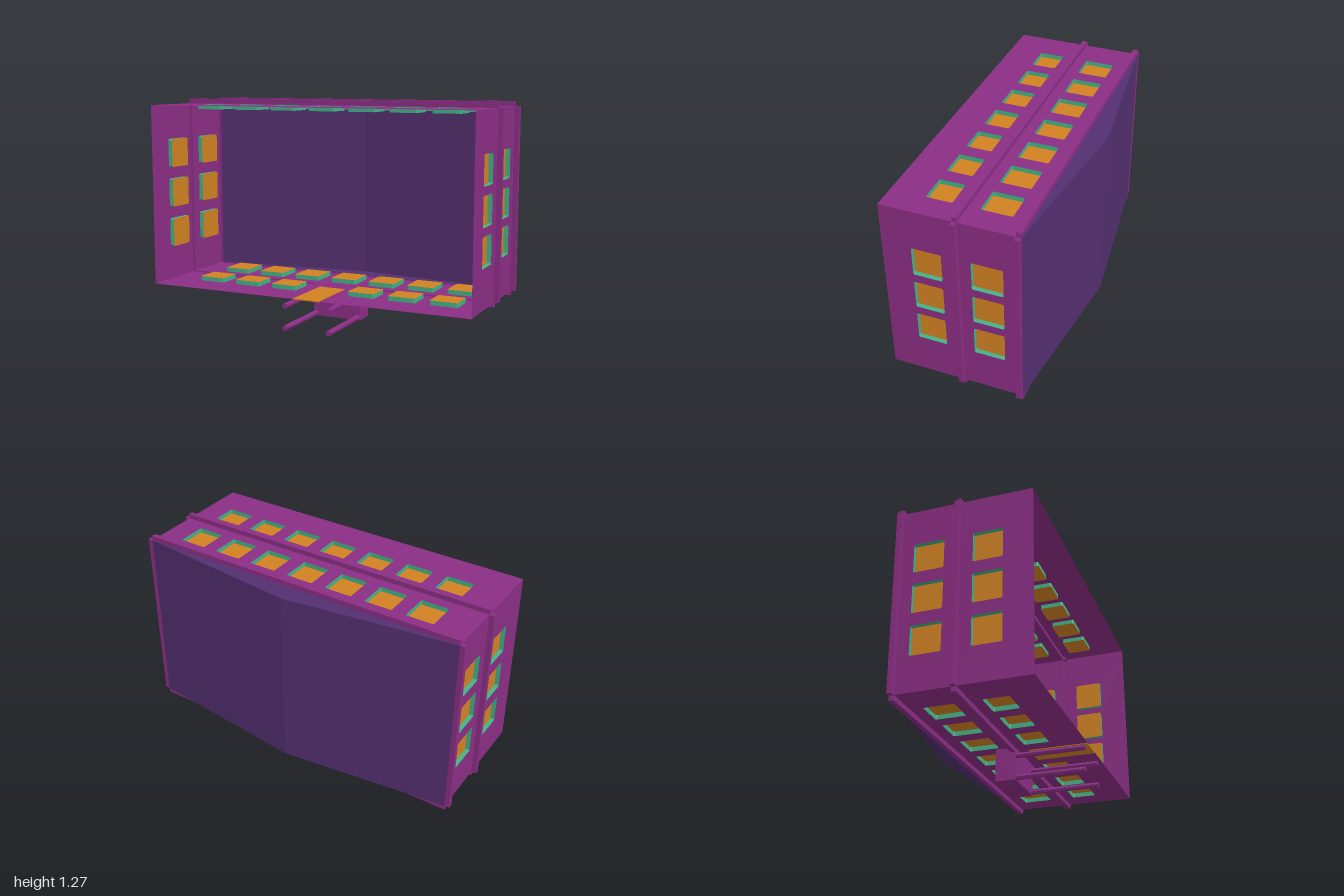
import * as THREE from 'three';

const make = (name, color) => {
  const m = new THREE.MeshStandardMaterial({ color, side: THREE.DoubleSide, flatShading: true });
  m.name = name;
  return m;
};

export function createModel() {
  const wallMat = make('wall purple', 0x8a2d84);
  const roofMat = make('roof violet', 0x532f70);
  const paneMat = make('pane orange', 0xd08122);
  const revealMat = make('reveal green', 0x43b185);
  const model = new THREE.Group();
  model.name = 'building';

  const X = 0.972, Y0 = 0.187, Y1 = 1.238, FRONT = 0.432, EAVE = -0.316, RIDGE = -0.432;

  const add = (parent, name, geo, mat) => {
    const mesh = new THREE.Mesh(geo, mat);
    mesh.name = name;
    parent.add(mesh);
    return mesh;
  };

  // Moves a flat shape (u, v, w) into place on one side of the building
  const mapped = (geo, map) => {
    const p = geo.attributes.position;
    for (let i = 0; i < p.count; i++) p.setXYZ(i, ...map(p.getX(i), p.getY(i), p.getZ(i)));
    geo.computeVertexNormals();
    return geo;
  };

  // Rectangle outline with small rounded corners
  const outline = ([u0, u1, v0, v1], r = 0) => {
    const pts = [];
    [[u1, v1], [u0, v1], [u0, v0], [u1, v0]].forEach(([u, v], i) => {
      const cu = u + (u === u1 ? -r : r), cv = v + (v === v1 ? -r : r);
      for (let k = 0; k <= (r ? 2 : 0); k++) {
        const a = (i + k / 2) * Math.PI / 2;
        pts.push(new THREE.Vector2(cu + r * Math.cos(a), cv + r * Math.sin(a)));
      }
    });
    return pts;
  };

  const sheet = (pts, w, holes = []) => {
    const s = new THREE.Shape(pts);
    s.holes = holes.map(h => new THREE.Path(h));
    return new THREE.ShapeGeometry(s).translate(0, 0, w);
  };

  // Ribbon of faces running round an outline between two depths
  const ribbon = (pts, w0, w1) => {
    const pos = [];
    pts.forEach((a, i) => {
      const b = pts[(i + 1) % pts.length];
      pos.push(a.x, a.y, w0, b.x, b.y, w0, b.x, b.y, w1, a.x, a.y, w0, b.x, b.y, w1, a.x, a.y, w1);
    });
    const g = new THREE.BufferGeometry();
    g.setAttribute('position', new THREE.Float32BufferAttribute(pos, 3));
    return g;
  };

  // One outer wall: u runs along it, v is z, w points outward
  const buildWall = (name, u0, u1, map, windows) => {
    const g = new THREE.Group();
    g.name = name;
    model.add(g);
    for (const [v0, v1] of [[0.038, FRONT], [-0.288, 0.012]]) {
      const holes = windows.filter(r => r[2] > v0 && r[3] < v1).map(r => outline(r, 0.008));
      add(g, 'wallPanel', mapped(sheet(outline([u0, u1, v0, v1]), 0, holes), map), wallMat);
    }
    // Raised hollow bands between the storeys and under the eaves
    for (const [v0, v1] of [[0.012, 0.038], [EAVE, -0.288]]) {
      const o = outline([u0, u1, v0, v1]);
      add(g, 'bandSides', mapped(ribbon(o, 0, 0.028), map), wallMat);
      add(g, 'bandFace', mapped(sheet(o, 0.028), map), wallMat);
    }
    // Recessed windows
    for (const r of windows) {
      const o = outline(r, 0.008);
      add(g, 'windowReveal', mapped(ribbon(o, 0, -0.026), map), revealMat);
      add(g, 'windowPane', mapped(sheet(o, -0.026), map), paneMat);
    }
  };

  const columns = [-0.78, -0.538, -0.295, -0.052, 0.19, 0.432, 0.675];
  const longWindows = skip => columns.flatMap((u, i) => {
    const upper = [u, u + 0.16, -0.22, -0.05];
    const lower = [u, u + 0.16, 0.097, 0.24];
    return i === skip ? [upper] : [upper, lower];
  });
  const endWindows = ys => ys.flatMap(y => [
    [y, y + 0.168, 0.108, 0.27],
    [y, y + 0.168, -0.22, -0.05],
  ]);

  buildWall('topWall', -X, X, (u, v, w) => [u, Y1 + w, v], longWindows(-1));
  buildWall('entranceWall', -X, X, (u, v, w) => [u, Y0 - w, v], longWindows(3));
  buildWall('leftWall', Y0, Y1, (u, v, w) => [X + w, u, v], endWindows([0.412, 0.627, 0.843]));
  buildWall('rightWall', Y0, Y1, (u, v, w) => [-X - w, u, v], endWindows([0.387, 0.627, 0.865]));

  // Hollow pitched roof with closed gables
  const slope = side => {
    const g = new THREE.BufferGeometry();
    const e = side * X;
    g.setAttribute('position', new THREE.Float32BufferAttribute([
      e, Y0, EAVE, 0, Y0, RIDGE, 0, Y1, RIDGE, e, Y0, EAVE, 0, Y1, RIDGE, e, Y1, EAVE], 3));
    g.computeVertexNormals();
    return g;
  };
  add(model, 'roofSlopeLeft', slope(1), roofMat);
  add(model, 'roofSlopeRight', slope(-1), roofMat);
  const gable = [[-X, EAVE], [X, EAVE], [0, RIDGE]].map(p => new THREE.Vector2(...p));
  for (const y of [Y0, Y1]) {
    add(model, 'gable', mapped(sheet(gable, 0), (u, v) => [u, y, v]), roofMat);
  }

  // Door, a thin plate in the entrance wall
  const door = add(model, 'door', new THREE.BoxGeometry(0.16, 0.006, 0.335), paneMat);
  door.position.set(0.028, Y0, FRONT - 0.1675);

  // Porch canopy: parapet around a sunken roof, carried on four posts
  const porch = new THREE.Group();
  porch.name = 'porch';
  model.add(porch);
  const same = (u, v, w) => [u, v, w];
  const rim = outline([-0.12, 0.18, 0, Y0 - 0.001]);
  add(porch, 'parapet', mapped(ribbon(rim, -0.075, 0.04), same), wallMat);
  add(porch, 'porchCeiling', sheet(rim, 0.04), wallMat);
  add(porch, 'porchRoof', sheet(rim, 0.01), roofMat);
  for (const x of [-0.104, 0.164]) {
    for (const y of [0.016, 0.142]) {
      const post = add(porch, 'post', new THREE.CylinderGeometry(0.016, 0.016, FRONT - 0.04, 8), wallMat);
      post.rotation.x = Math.PI / 2;
      post.position.set(x, y, (FRONT + 0.04) / 2);
    }
  }
  return model;
}
